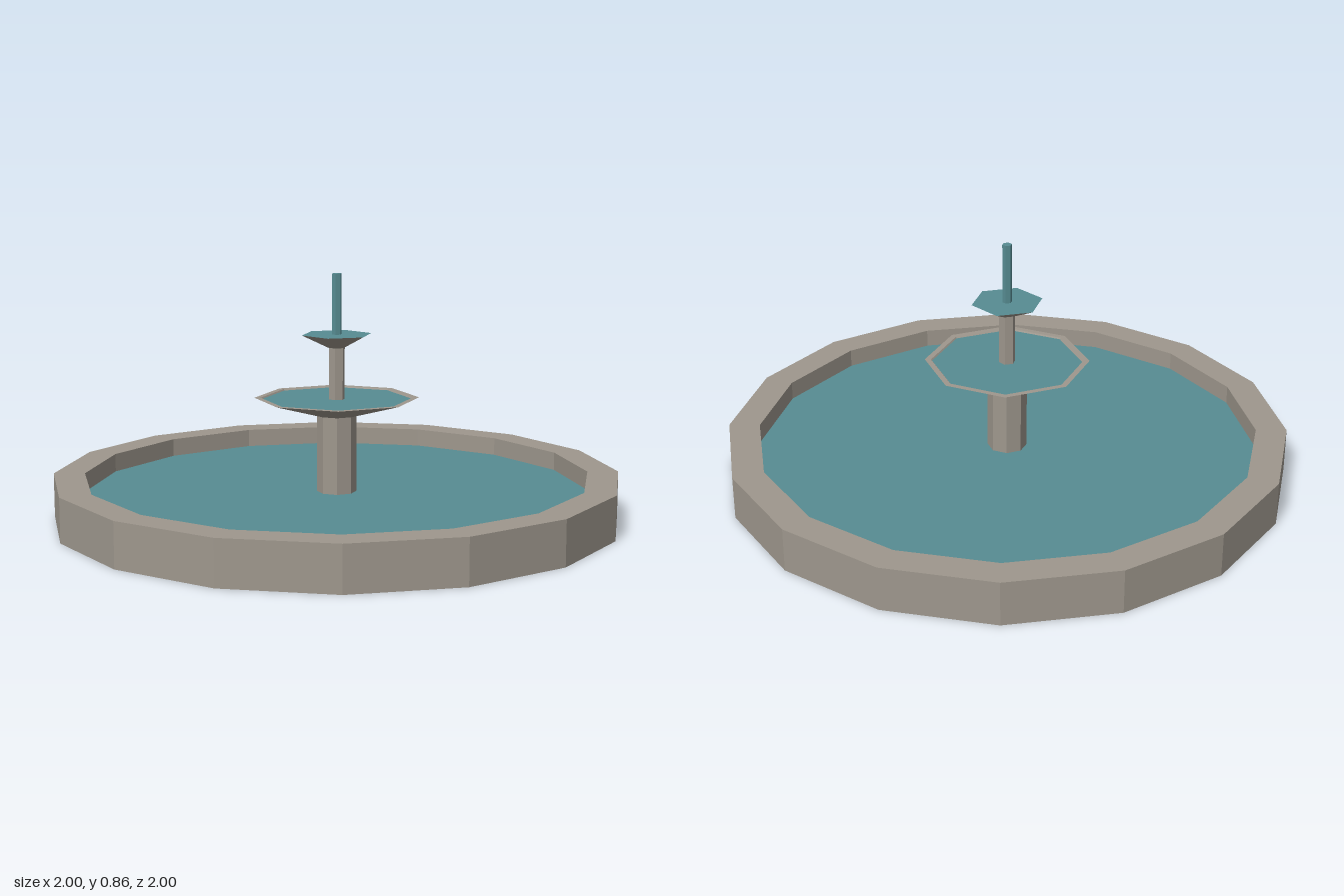
import * as THREE from 'three';

const stone = new THREE.MeshStandardMaterial({ color: 0x9e978d, flatShading: true, side: THREE.DoubleSide });
stone.name = 'stone';
const water = new THREE.MeshStandardMaterial({ color: 0x578c92, flatShading: true, side: THREE.DoubleSide });
water.name = 'water';

export function createModel() {
  const model = new THREE.Group();
  model.name = 'fountain';

  const add = (name, geometry, material) => {
    const mesh = new THREE.Mesh(geometry, material);
    mesh.name = name;
    model.add(mesh);
  };

  // Faceted ring from a [radius, y] profile, with a corner on the x axis
  const turned = (name, sides, profile, material = stone) => {
    const points = profile.map(([r, y]) => new THREE.Vector2(r, y));
    const start = sides % 4 ? Math.PI / sides : 0;
    add(name, new THREE.LatheGeometry(points, sides, start), material);
  };

  // Flat water surface
  const surface = (name, sides, radius, y) =>
    add(name, new THREE.CircleGeometry(radius, sides).rotateX(-Math.PI / 2).translate(0, y, 0), water);

  // Pool: outer wall, flat rim and inner wall, open underneath
  turned('poolWall', 16, [[1, 0], [1, 0.156], [0.89, 0.156], [0.89, 0.085]]);
  surface('poolWater', 16, 0.89, 0.09);

  // Lower tier
  turned('pedestal', 8, [[0.07, 0.09], [0.07, 0.363]]);
  turned('lowerBowl', 8, [[0, 0.363], [0.07, 0.363], [0.29, 0.425], [0.268, 0.425], [0.262, 0.417]]);
  surface('lowerBowlWater', 8, 0.268, 0.42);

  // Upper tier, filled to the brim
  turned('column', 6, [[0.029, 0.42], [0.029, 0.603]]);
  turned('upperBowl', 6, [[0, 0.603], [0.032, 0.603], [0.126, 0.649]]);
  surface('upperBowlWater', 6, 0.126, 0.649);

  // Water jet
  turned('jet', 6, [[0.017, 0.649], [0.017, 0.862], [0, 0.862]], water);

  return model;
}
